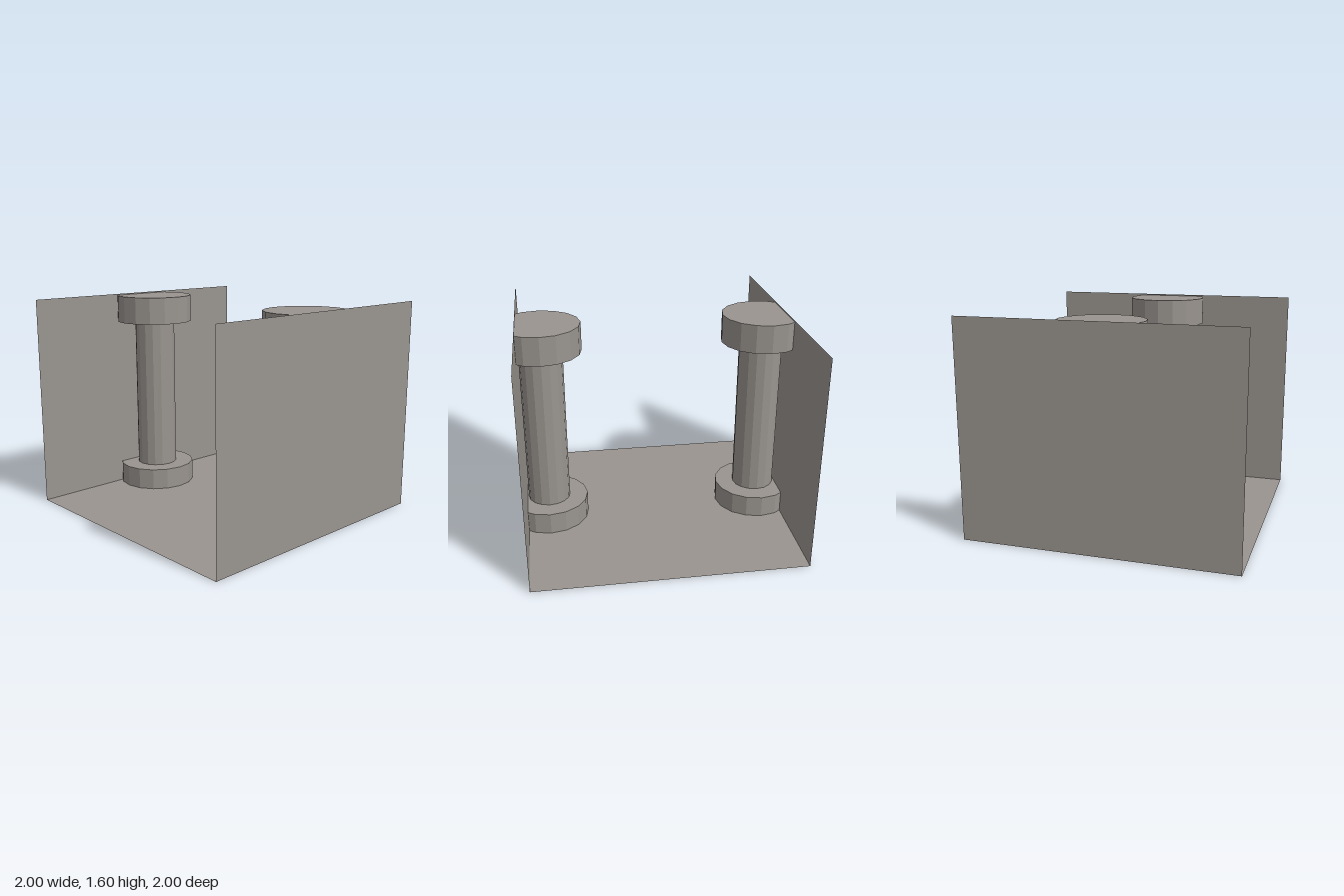
import * as THREE from 'three';

const SIDES = 16;
const WALL_X = 1, HEIGHT = 1.6, COLUMN_X = 0.83;

// Sixteen-sided disc standing on y, cut off flat where it meets the wall
function cutDisc(side, radius, y, height) {
  const cut = WALL_X - 0.001 - COLUMN_X;
  const ring = [];
  for (let i = 0; i < SIDES; i++) {
    const a = (i / SIDES) * Math.PI * 2;
    ring.push(new THREE.Vector2(radius * Math.cos(a), radius * Math.sin(a)));
  }
  const points = [];
  ring.forEach((p, i) => {
    const q = ring[(i + 1) % SIDES];
    if (p.x <= cut) points.push(p);
    if ((p.x <= cut) !== (q.x <= cut)) {
      points.push(p.clone().lerp(q, (cut - p.x) / (q.x - p.x)));
    }
  });
  const shape = new THREE.Shape(
    points.map((p) => new THREE.Vector2(side * (COLUMN_X + p.x), p.y))
  );
  const geometry = new THREE.ExtrudeGeometry(shape, { depth: height, bevelEnabled: false });
  geometry.rotateX(-Math.PI / 2);
  geometry.translate(0, y, 0);
  return geometry;
}

// Faceted column shaft
function shaftGeometry(side) {
  const geometry = new THREE.CylinderGeometry(0.162, 0.162, 1.21, SIDES, 1, true).toNonIndexed();
  geometry.computeVertexNormals();
  geometry.translate(side * (COLUMN_X - 0.003), 0.77, 0);
  return geometry;
}

export function createModel() {
  const model = new THREE.Group();
  model.name = 'columnHall';
  const stone = new THREE.MeshStandardMaterial({ color: 0x99948f, side: THREE.DoubleSide });
  stone.name = 'warm grey stone';

  const add = (name, geometry, parent = model) => {
    const mesh = new THREE.Mesh(geometry, stone);
    mesh.name = name;
    parent.add(mesh);
  };

  // Floor sheet
  add('floor', new THREE.PlaneGeometry(2, 2).rotateX(-Math.PI / 2));

  for (const side of [-1, 1]) {
    const label = side > 0 ? 'left' : 'right';

    // Side wall sheet
    const wall = new THREE.PlaneGeometry(2, HEIGHT).rotateY((side * Math.PI) / 2);
    add(label + 'Wall', wall.translate(side * WALL_X, HEIGHT / 2, 0));

    // Column set into the wall: base, shaft and capital
    const column = new THREE.Group();
    column.name = label + 'Column';
    add('base', cutDisc(side, 0.305, 0.002, 0.165), column);
    add('shaft', shaftGeometry(side), column);
    add('capital', cutDisc(side, 0.305, 1.377, 0.213), column);
    model.add(column);
  }
  return model;
}
